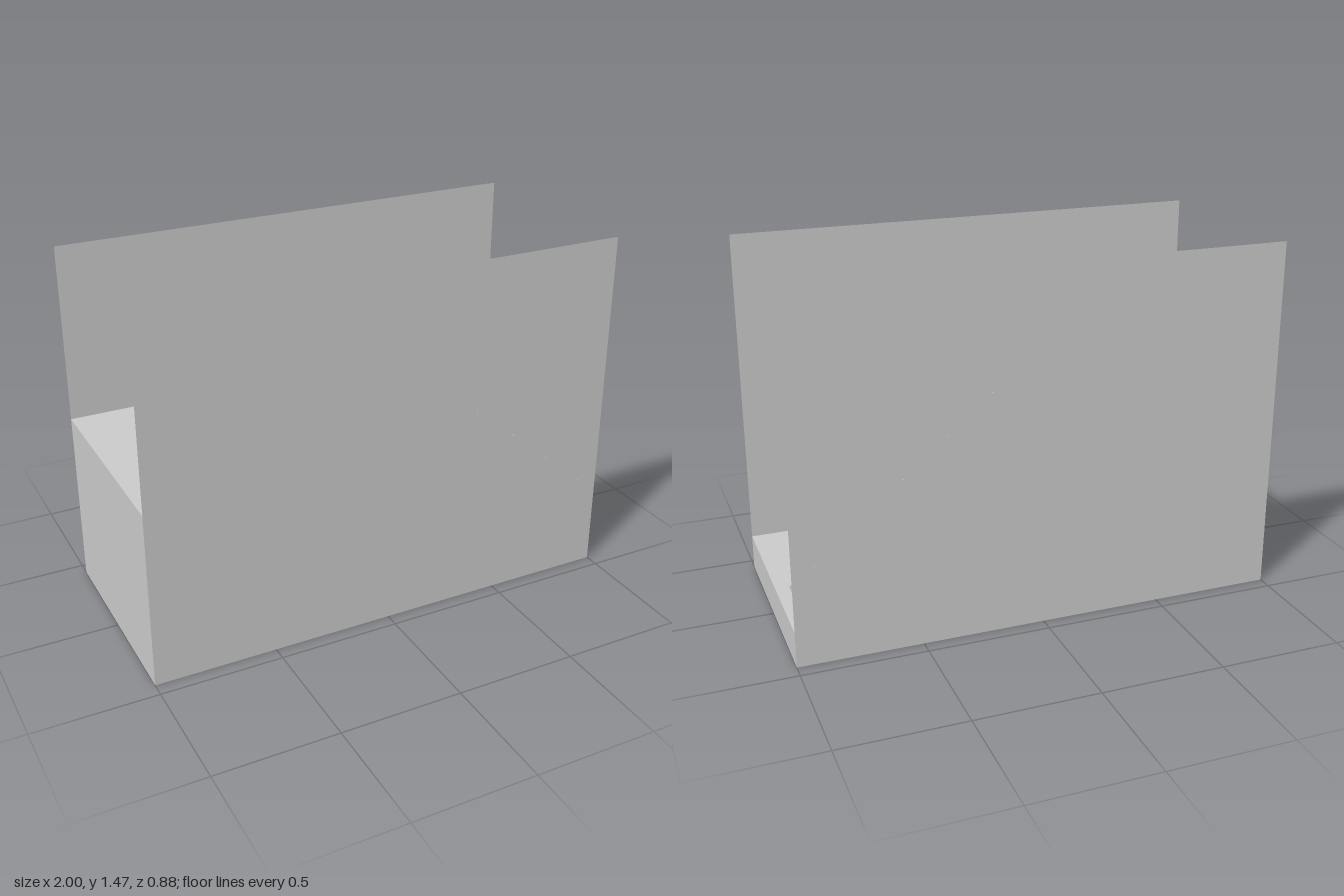
import * as THREE from 'three';

const HALF_W = 0.44, HEIGHT = 1.467, RISE = 0.1467, RUN = 0.175, STEPS = 5;

const grey = new THREE.MeshStandardMaterial({ color: 0xcccccc, flatShading: true });
const thin = new THREE.MeshStandardMaterial({ color: 0xcccccc, flatShading: true, side: THREE.DoubleSide });

function addMesh(parent, name, geometry, material = grey) {
  const mesh = new THREE.Mesh(geometry, material);
  mesh.name = name;
  parent.add(mesh);
  return mesh;
}

// Solid flight of steps, descending towards +x, with a long landing at -x
function staircaseGeometry() {
  const s = new THREE.Shape();
  s.moveTo(-1, 0);
  s.lineTo(1, 0);
  for (let i = 0; i < STEPS; i++) {
    const x = 1 - i * RUN;
    s.lineTo(x, (i + 1) * RISE);
    s.lineTo(i === STEPS - 1 ? -1 : x - RUN, (i + 1) * RISE);
  }
  const depth = 2 * (HALF_W - 0.001);
  return new THREE.ExtrudeGeometry(s, { depth, bevelEnabled: false }).translate(0, 0, -depth / 2);
}

// Slanted brace from a tread up to a wall; side is +1 (front) or -1 (back)
function braceGeometry(x, treadY, side) {
  const w = 0.07, wall = HALF_W - 0.001;
  const s = new THREE.Shape([
    [0.075, 0], [0.135, 0], [wall, 0.214], [wall, 0.258],
  ].map(([z, y]) => new THREE.Vector2(z * side, treadY + y)));
  return new THREE.ExtrudeGeometry(s, { depth: w, bevelEnabled: false })
    .rotateY(-Math.PI / 2)
    .translate(x + w / 2, 0, 0);
}

export function createModel() {
  const model = new THREE.Group();
  model.name = 'walledStaircase';

  addMesh(model, 'staircase', staircaseGeometry());

  // Thin side walls with a row of tiny pegs following the slope of the steps
  for (const [label, side, pegs] of [['front', 1, 4], ['back', -1, 5]]) {
    const wall = addMesh(model, label + 'Wall', new THREE.PlaneGeometry(2, HEIGHT), thin);
    wall.position.set(0, HEIGHT / 2, side * HALF_W);
    if (side < 0) wall.rotation.y = Math.PI;
    for (let i = 0; i < pegs; i++) {
      const peg = addMesh(model, label + 'WallPeg', new THREE.BoxGeometry(0.009, 0.009, 0.004));
      peg.position.set(1 - (i + 0.5) * RUN, 0.405 + i * RISE, side * HALF_W);
    }
  }

  // One brace on the first tread, one on the fourth
  addMesh(model, 'backBrace', braceGeometry(0.91, RISE, -1));
  addMesh(model, 'frontBrace', braceGeometry(0.388, 4 * RISE, 1));

  return model;
}
